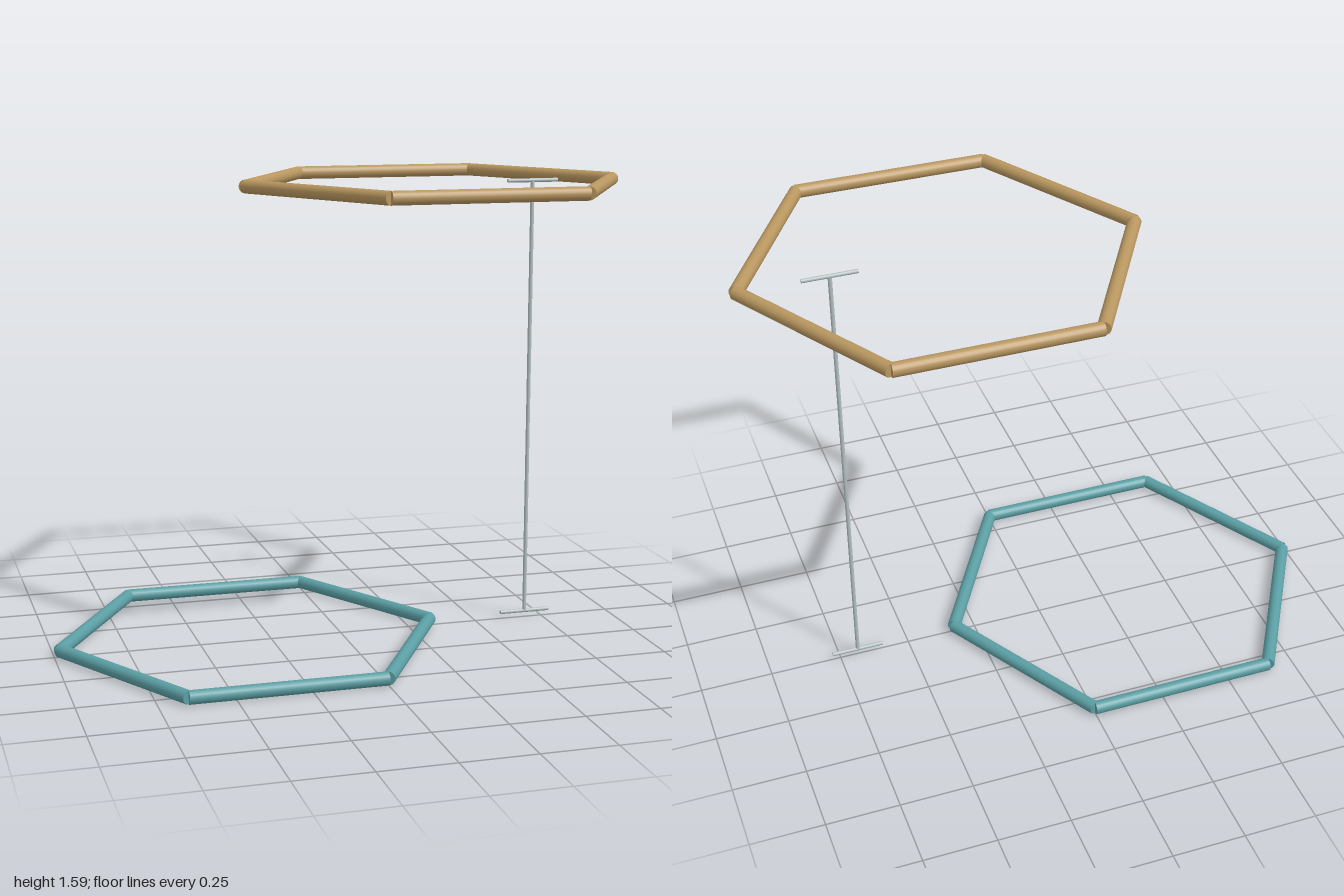
import * as THREE from 'three';

const RING_RADIUS = 0.6535;
const BAR_RADIUS = 0.0228;
const LOW_Y = BAR_RADIUS;
const HIGH_Y = LOW_Y + 1.54;
const OFFSET_X = RING_RADIUS / 2;
const GAUGE_X = 0.686;

// Straight capped rod between two points
function rod(name, a, b, radius, material) {
  const mesh = new THREE.Mesh(
    new THREE.CylinderGeometry(radius, radius, a.distanceTo(b), 20), material);
  mesh.name = name;
  mesh.position.copy(a).lerp(b, 0.5);
  mesh.quaternion.setFromUnitVectors(
    new THREE.Vector3(0, 1, 0), b.clone().sub(a).normalize());
  return mesh;
}

// Flat hexagon made of six butted bars
function hexRing(name, x, y, color) {
  const ring = new THREE.Group();
  ring.name = name;
  ring.position.set(x, y, 0);
  const material = new THREE.MeshStandardMaterial({ color });
  const corner = (i) => new THREE.Vector3(
    RING_RADIUS * Math.cos(i * Math.PI / 3), 0, RING_RADIUS * Math.sin(i * Math.PI / 3));
  for (let i = 0; i < 6; i++) {
    ring.add(rod('ringBar' + (i + 1), corner(i), corner(i + 1), BAR_RADIUS, material));
  }
  return ring;
}

export function createModel() {
  const model = new THREE.Group();
  model.name = 'offsetHexagonLayers';

  model.add(hexRing('lowerRing', -OFFSET_X, LOW_Y, 0x5a9ea3));
  model.add(hexRing('upperRing', OFFSET_X, HIGH_Y, 0xb8965f));

  // Height gauge: thin upright with a cross tick at each level
  const gauge = new THREE.Group();
  gauge.name = 'heightGauge';
  const grey = new THREE.MeshStandardMaterial({ color: 0xb4c0c2 });
  const point = (x, y) => new THREE.Vector3(x, y, 0);
  gauge.add(rod('gaugeUpright', point(GAUGE_X, LOW_Y), point(GAUGE_X, HIGH_Y), 0.0068, grey));
  for (const [name, y] of [['lowerTick', LOW_Y], ['upperTick', HIGH_Y]]) {
    gauge.add(rod(name, point(GAUGE_X - 0.091, y), point(GAUGE_X + 0.091, y), 0.0068, grey));
  }
  model.add(gauge);
  return model;
}
